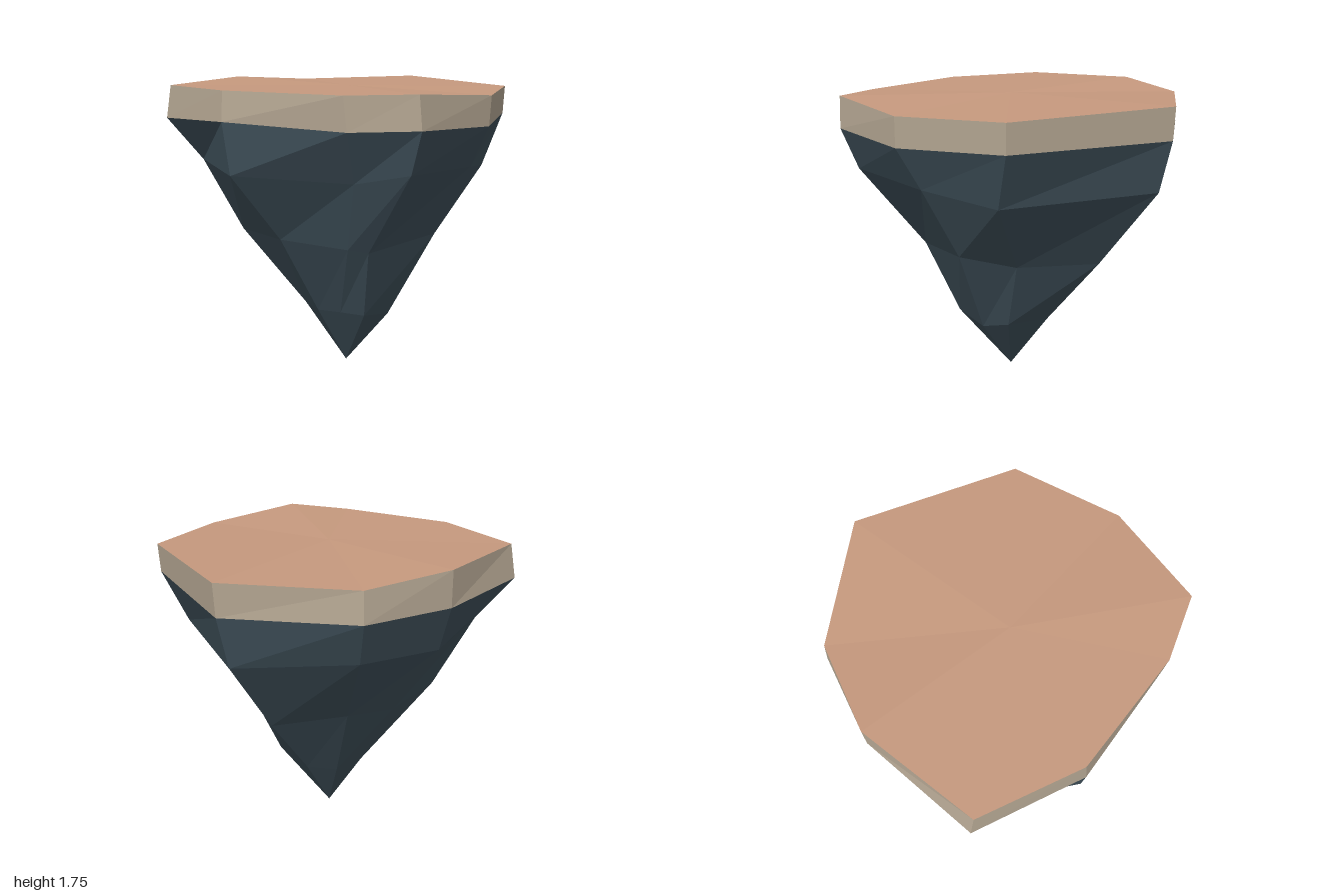
import * as THREE from 'three';

// Nine-sided cross-sections, counter-clockwise from the front corner, [x, y, z]
const rim = [[0.06, 1.73, 0.99], [0.62, 1.695, 0.70], [0.995, 1.71, 0.17], [0.77, 1.735, -0.76], [0.06, 1.715, -0.985],
  [-0.45, 1.745, -0.83], [-0.975, 1.725, -0.325], [-0.79, 1.725, 0.27], [-0.28, 1.72, 0.80]];
const bandBase = [[0.075, 1.545, 0.995], [0.61, 1.525, 0.70], [0.985, 1.545, 0.17], [0.76, 1.55, -0.755], [0.06, 1.54, -1.0],
  [-0.45, 1.54, -0.83], [-1.0, 1.53, -0.35], [-0.80, 1.555, 0.28], [-0.26, 1.53, 0.80]];
const shoulder = [[0.06, 1.305, 0.90], [0.57, 1.285, 0.57], [0.84, 1.23, 0.19], [0.70, 1.255, -0.71], [0.05, 1.29, -0.89],
  [-0.43, 1.27, -0.72], [-0.80, 1.28, -0.28], [-0.76, 1.255, 0.28], [-0.17, 1.235, 0.66]];
const waist = [[-0.03, 0.81, 0.52], [0.45, 0.86, 0.36], [0.51, 0.80, 0.04], [0.45, 0.78, -0.45], [0.03, 0.84, -0.54],
  [-0.26, 0.82, -0.46], [-0.58, 0.85, -0.20], [-0.45, 0.85, 0.18], [-0.14, 0.83, 0.48]];
const ankle = [[0.02, 0.38, 0.32], [0.22, 0.34, 0.20], [0.32, 0.38, 0.06], [0.20, 0.36, -0.20], [0.02, 0.33, -0.22],
  [-0.12, 0.36, -0.20], [-0.22, 0.38, -0.08], [-0.19, 0.37, 0.08], [-0.09, 0.38, 0.21]];
const tip = [0.02, 0, 0];
const crown = [0.02, 1.725, 0.0];

// Joins stacked rings, listed from top to bottom
function bridge(rings) {
  const tris = [];
  for (let r = 0; r < rings.length - 1; r++) {
    const up = rings[r], low = rings[r + 1];
    up.forEach((p, i) => {
      const j = (i + 1) % up.length;
      tris.push(low[i], low[j], up[j], low[i], up[j], p);
    });
  }
  return tris;
}

// Closes a ring to a single point, facing up or down
function fan(ring, point, up) {
  return ring.flatMap((p, i) => {
    const q = ring[(i + 1) % ring.length];
    return up ? [point, p, q] : [point, q, p];
  });
}

function facetedMesh(name, corners, material) {
  const geometry = new THREE.BufferGeometry();
  geometry.setAttribute('position', new THREE.Float32BufferAttribute(corners.flat(), 3));
  geometry.computeVertexNormals();
  const mesh = new THREE.Mesh(geometry, material);
  mesh.name = name;
  return mesh;
}

function flatMaterial(name, color) {
  const material = new THREE.MeshStandardMaterial({ color });
  material.name = name;
  return material;
}

export function createModel() {
  const group = new THREE.Group();
  group.name = 'floatingIsland';
  group.add(
    // Slightly uneven ground
    facetedMesh('groundTop', fan(rim, crown, true), flatMaterial('clay', 0xc6997e)),
    // Pale soil edge
    facetedMesh('soilBand', bridge([rim, bandBase]), flatMaterial('paleSoil', 0xb5a793)),
    // Rock tapering to a point
    facetedMesh('rockUnderside', [...bridge([bandBase, shoulder, waist, ankle]), ...fan(ankle, tip, false)],
      flatMaterial('slateRock', 0x3f505a)),
  );
  return group;
}
